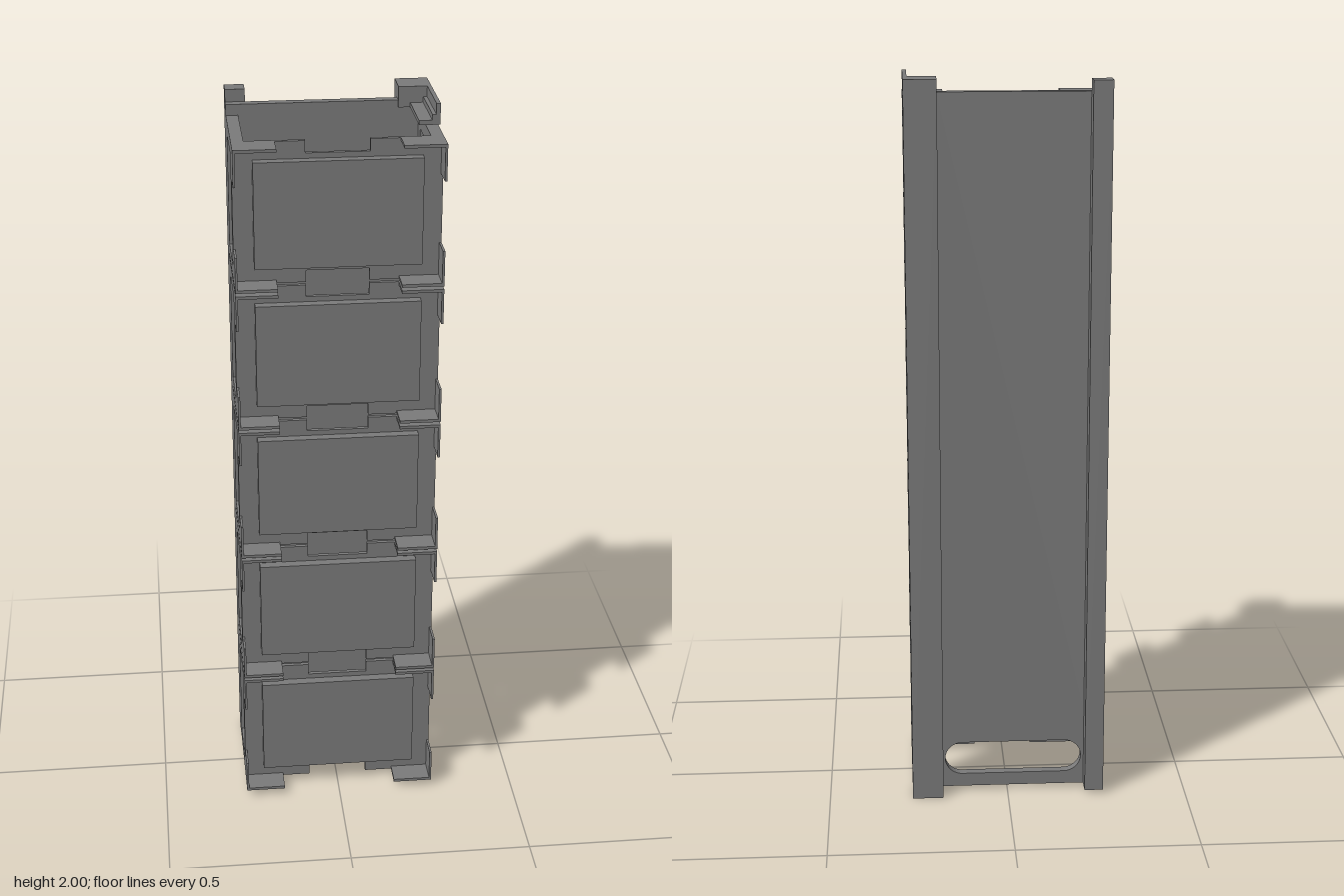
import * as THREE from 'three';

const material = new THREE.MeshStandardMaterial({ color: 0x7b7b7b });
const W = 0.268; // half width
const WALL = 0.032;
const CELL_H = 0.376, PITCH = 0.3845, BASE = 0.02;

function add(parent, name, geometry) {
  const mesh = new THREE.Mesh(geometry, material);
  mesh.name = name;
  parent.add(mesh);
  return mesh;
}

// box given by its limits on each axis
function block(parent, name, [x0, x1], [y0, y1], [z0, z1]) {
  const g = new THREE.BoxGeometry(x1 - x0, y1 - y0, z1 - z0);
  g.translate((x0 + x1) / 2, (y0 + y1) / 2, (z0 + z1) / 2);
  return add(parent, name, g);
}

function polygon(points) {
  return new THREE.Shape(points.map(([x, y]) => new THREE.Vector2(x, y)));
}

function rect(x0, x1, y0, y1) {
  return polygon([[x0, y0], [x1, y0], [x1, y1], [x0, y1]]);
}

function extrude(shape, depth) {
  return new THREE.ExtrudeGeometry(shape, { depth, bevelEnabled: false, curveSegments: 16 });
}

// one open compartment: windowed sides, notched front, raised panel, corner guards
function createCell() {
  const cell = new THREE.Group();
  cell.name = 'compartment';

  const side = rect(-0.116, 0.122, 0, CELL_H);
  side.holes.push(rect(-0.075, 0.087, 0.038, 0.338));
  for (const s of [-1, 1]) {
    const g = extrude(side, WALL);
    g.rotateY(-Math.PI / 2);
    g.translate(s > 0 ? W : -W + WALL, 0, 0);
    add(cell, 'sideFrame', g);
  }

  // front plate with a shallow notch at top and bottom
  const n = 0.082, d = 0.032, H = CELL_H, w = W - WALL;
  const front = polygon([
    [-w, 0], [-n, 0], [-n, d], [n, d], [n, 0], [w, 0],
    [w, H], [n, H], [n, H - d], [-n, H - d], [-n, H], [-w, H],
  ]);
  const plate = extrude(front, 0.011);
  plate.translate(0, 0, 0.111);
  add(cell, 'frontPlate', plate);
  block(cell, 'frontPanel', [-0.216, 0.216], [0.047, 0.33], [0.122, 0.148]);

  // corner guards: a thin upright flap joined to a thin shelf
  for (const s of [-1, 1]) {
    const span = (a, b) => (s > 0 ? [a, b] : [-b, -a]);
    for (const top of [false, true]) {
      block(cell, 'guardFlap', span(W - 0.006, W), top ? [0.28, H] : [0, 0.095], [0.122, 0.188]);
      block(cell, 'guardShelf', span(0.159, W - 0.006), top ? [H - 0.008, H] : [0, 0.008], [0.122, 0.188]);
    }
  }
  return cell;
}

export function createModel() {
  const model = new THREE.Group();
  model.name = 'cellTower';

  for (let i = 0; i < 5; i++) {
    const cell = createCell();
    cell.position.y = BASE + i * PITCH;
    model.add(cell);
  }

  // back panel with a rounded slot near the bottom
  const back = rect(-W, 0.182, 0.012, 1.963);
  const slot = new THREE.Path();
  const r = 0.048, cy = 0.098;
  slot.absarc(0.127, cy, r, -Math.PI / 2, Math.PI / 2, false);
  slot.absarc(-0.16, cy, r, Math.PI / 2, Math.PI * 1.5, false);
  slot.closePath();
  back.holes.push(slot);
  const panel = extrude(back, 0.025);
  panel.translate(0, 0, -0.141);
  add(model, 'backPanel', panel);

  // posts behind the panel: one narrow, one wide with a deeper cap
  block(model, 'narrowPost', [-W, -0.216], [0.012, 1.996], [-0.189, -0.141]);
  block(model, 'widePost', [0.182, W], [0, 2], [-0.189, -0.141]);
  block(model, 'widePostInner', [0.182, W], [0.012, 2], [-0.141, -0.116]);
  block(model, 'widePostCap', [0.182, W], [1.945, 2], [-0.116, -0.108]);

  // stepped angle bracket on top of the wide post
  block(model, 'bracketShelf', [0.213, 0.247], [1.945, 1.957], [-0.108, 0.056]);
  block(model, 'bracketStep', [0.247, 0.257], [1.945, 1.972], [-0.108, 0.056]);
  block(model, 'bracketFlange', [0.257, W], [1.945, 2], [-0.108, 0.056]);

  return model;
}
